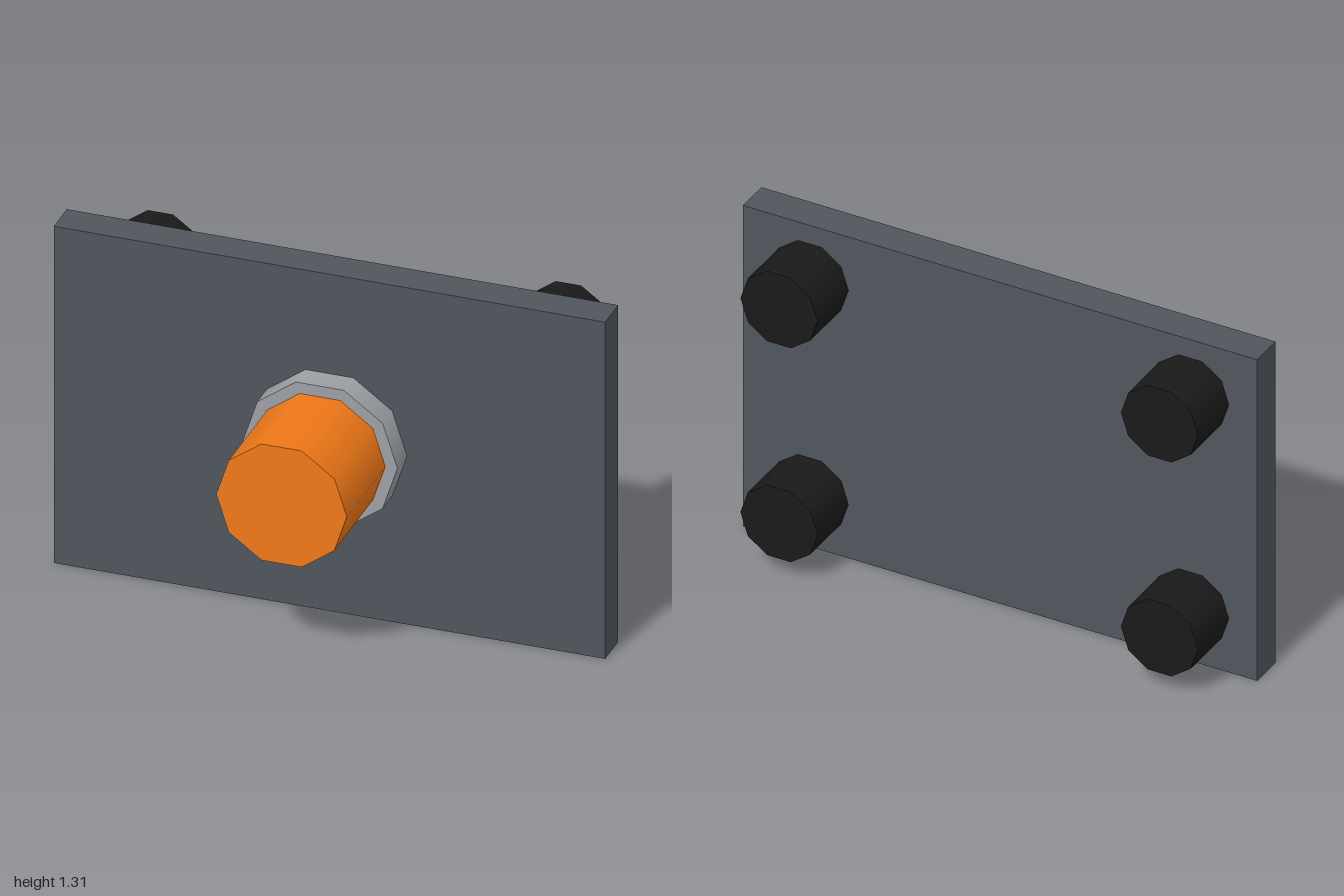
import * as THREE from 'three';

const SIDES = 10;
const MID_Y = 0.653;
const PLATE_BACK = -0.195;
const PLATE_FRONT = -0.065;

const paint = (color) => new THREE.MeshStandardMaterial({ color });

// Ten-sided, smooth-shaded cylinder lying along z, with corners on the x axis
function rod(name, radius, zBack, zFront, material) {
  const geometry = new THREE.CylinderGeometry(
    radius, radius, zFront - zBack, SIDES, 1, false, Math.PI / 2);
  geometry.rotateX(Math.PI / 2);
  const mesh = new THREE.Mesh(geometry, material);
  mesh.name = name;
  mesh.position.z = (zBack + zFront) / 2;
  return mesh;
}

export function createModel() {
  const model = new THREE.Group();
  model.name = 'mountedKnob';

  // Backing plate
  const plate = new THREE.Mesh(
    new THREE.BoxGeometry(2, MID_Y * 2, PLATE_FRONT - PLATE_BACK), paint(0x50555d));
  plate.name = 'plate';
  plate.position.set(0, MID_Y, (PLATE_FRONT + PLATE_BACK) / 2);
  model.add(plate);

  // Collar and knob on the front
  const collar = rod('collar', 0.281, PLATE_FRONT, 0.03, paint(0x9ca0a5));
  const knob = rod('knob', 0.237, 0.03, 0.413, paint(0xf07818));
  for (const part of [collar, knob]) {
    part.position.y = MID_Y;
    model.add(part);
  }

  // Four feet on the back
  const rubber = paint(0x1a1a1a);
  for (const [row, dy] of [['upper', 0.435], ['lower', -0.435]]) {
    for (const [side, x] of [['Left', 0.74], ['Right', -0.74]]) {
      const foot = rod(`${row}${side}Foot`, 0.15, -0.413, PLATE_BACK, rubber);
      foot.position.x = x;
      foot.position.y = MID_Y + dy;
      model.add(foot);
    }
  }

  return model;
}
